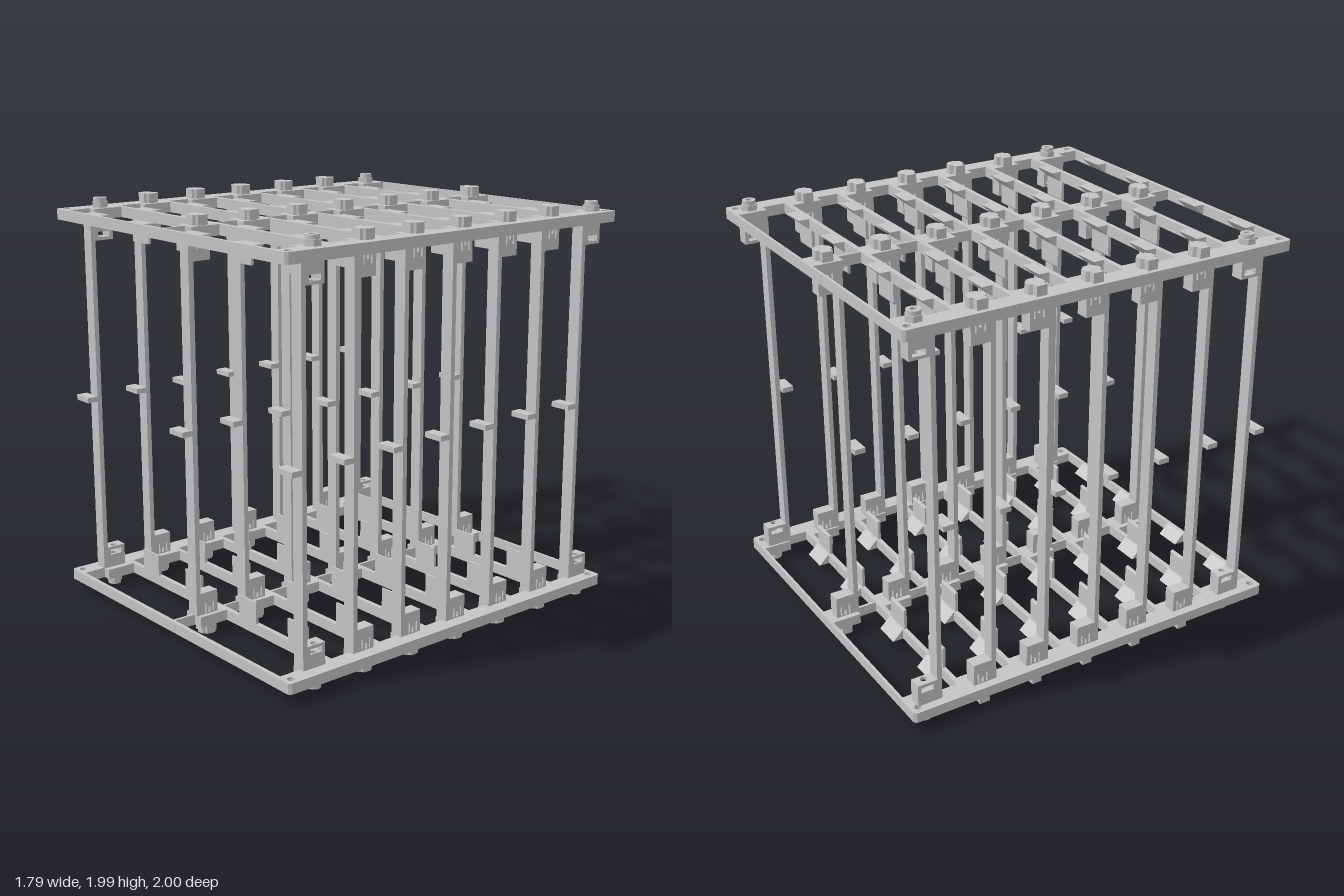
import * as THREE from 'three';

const H = 1.985;                 // overall height
const F0 = 0.047, F1 = 0.098;    // frame underside and top
const ROWS = 7, PITCH = 0.285;
const POST_X = [-0.819, 0.002, 0.798];
const PIN_X = [-0.812, 0.014, 0.812];
const rowZ = k => -0.908 + PITCH * k;
const barZ = k => -0.73 + PITCH * k;

const grey = new THREE.MeshStandardMaterial({ color: 0xc4c4c4 });
grey.name = 'grey plastic';

const toVectors = pts => pts.map(p => new THREE.Vector2(p[0], p[1]));
const rect = (a0, a1, b0, b1) => [[a0, b0], [a1, b0], [a1, b1], [a0, b1]];
const ring = (cx, cy, r, n, start = 0) => Array.from({ length: n }, (_, i) => {
  const a = start + i / n * Math.PI * 2;
  return [cx + r * Math.cos(a), cy + r * Math.sin(a)];
});

// Outline runs counter-clockwise and holes clockwise, so all walls face outwards
function extrude(outline, holes, depth) {
  const wind = (pts, clockwise) => {
    const v = toVectors(pts);
    return THREE.ShapeUtils.isClockWise(v) === clockwise ? v : v.reverse();
  };
  const shape = new THREE.Shape(wind(outline, false));
  holes.forEach(h => shape.holes.push(new THREE.Path(wind(h, true))));
  return new THREE.ExtrudeGeometry(shape, { depth, bevelEnabled: false });
}

// Upright prism from an outline in x and z
function prism(outline, y0, y1, holes = []) {
  const flip = pts => pts.map(([x, z]) => [x, -z]);
  return extrude(flip(outline), holes.map(flip), y1 - y0).rotateX(-Math.PI / 2).translate(0, y0, 0);
}

// Sideways prism from an outline in z and y
function slab(outline, x0, x1, holes = []) {
  const flip = pts => pts.map(([z, y]) => [-z, y]);
  return extrude(flip(outline), holes.map(flip), x1 - x0).rotateY(Math.PI / 2).translate(x0, 0, 0);
}

function add(parent, name, geometry) {
  const mesh = new THREE.Mesh(geometry, grey);
  mesh.name = name;
  parent.add(mesh);
}

// Openings either side of the centre rail, narrowed by the tongues under the posts
function frameHoles() {
  const holes = [];
  for (let k = 0; k < ROWS; k++) {
    const z0 = (k ? barZ(k - 1) + 0.024 : -0.986), zt = -0.841 + PITCH * k, z1 = barZ(k);
    const cell = (n0, n1, w0, w1) =>
      [[n0, z0], [n1, z0], [n1, zt], [w1, zt], [w1, z1], [w0, z1], [w0, zt], [n0, zt]];
    holes.push(cell(-0.755, -0.057, -0.797, -0.007), cell(0.057, 0.755, 0.007, 0.803));
  }
  for (const s of [-1, 1]) {
    for (const z of [-0.96, 0.96]) holes.push(ring(s * 0.853, z, 0.018, 20));
    for (const k of [0, ROWS - 1]) holes.push(ring(s * 0.812, rowZ(k), 0.016, 20));
  }
  return holes;
}

// Keyed head: round pin with side lugs and a square key towards -x
function keyOutline(cx, cz) {
  const half = [[-0.058, 0.026], [-0.03, 0.026], [-0.02, 0.041],
    [0.014, 0.041], [0.02, 0.03], [0.031, 0.024], [0.035, 0.01]];
  return [...half, ...half.map(([x, z]) => [x, -z]).reverse()].map(([x, z]) => [cx + x, cz + z]);
}

function buildEnd(name, upper) {
  const end = new THREE.Group();
  end.name = name;
  const Y = y => (upper ? H - y : y);
  const upright = (outline, y0, y1, holes) => {
    const a = Y(y0), b = Y(y1);
    return prism(outline, Math.min(a, b), Math.max(a, b), holes);
  };
  const side = (outline, x0, x1, holes = []) => {
    const m = pts => pts.map(([z, y]) => [z, Y(y)]);
    return slab(m(outline), x0, x1, holes.map(m));
  };

  // Grid frame with clipped corners
  const c = 0.012;
  const outer = [[-0.893 + c, -1], [0.893 - c, -1], [0.893, -1 + c], [0.893, 1 - c],
    [0.893 - c, 1], [-0.893 + c, 1], [-0.893, 1 - c], [-0.893, -1 + c]];
  add(end, 'gridFrame', upright(outer, F0, F1, frameHoles()));

  // Card guides: a solid lead-in wedge behind each bar and an upright tab on inner bars
  for (let k = 0; k < ROWS; k++) {
    const z = barZ(k);
    for (const x of [-0.59, -0.219, 0.221, 0.592]) {
      const x0 = x - 0.067, x1 = x + 0.067;
      add(end, 'guideWedge', side([[z, F1], [z, F0], [z - 0.054, F0]], x0, x1));
      if (k < ROWS - 1) {
        add(end, 'guideTab', side([[z + 0.009, F1], [z + 0.024, F1], [z + 0.024, 0.205],
          [z + 0.014, 0.205], [z + 0.009, 0.198]], x0, x1));
      }
    }
  }

  // Post feet: bolted at the four corners, snap-in elsewhere
  for (let k = 0; k < ROWS; k++) {
    const z = rowZ(k);
    POST_X.forEach((x, i) => {
      const px = PIN_X[i], x0 = x - 0.032, x1 = x + 0.032;
      if (i !== 1 && (k === 0 || k === ROWS - 1)) {
        const bore = [ring(px, z, 0.016, 20)];
        const foot = rect(x0, x1, z - 0.05, z + 0.05);
        add(end, 'boltFootInner', upright(foot, F1, 0.163, bore));
        add(end, 'boltFootOuter', upright(foot, 0.19, 0.205, bore));
        for (const s of [-1, 1]) {
          const a = z + s * 0.05, b = z + s * 0.032;
          add(end, 'boltFootWall', upright(rect(x0, x1, Math.min(a, b), Math.max(a, b)), 0.163, 0.19));
        }
        add(end, 'boltFlange', upright(ring(px, z, 0.041, 6, Math.PI / 6), 0.02, F0, bore));
        add(end, 'boltHead', upright(ring(px, z, 0.032, 24), 0, 0.02, bore));
      } else {
        const slits = [rect(z - 0.026, z - 0.018, 0.104, 0.152), rect(z - 0.006, z + 0.006, 0.104, 0.13),
          rect(z + 0.018, z + 0.026, 0.104, 0.152)];
        add(end, 'snapFoot', side(rect(z - 0.046, z + 0.05, F1, 0.205), x0, x1, slits));
        add(end, 'snapHead', upright(keyOutline(px, z), 0, F0));
      }
    });
  }
  return end;
}

export function createModel() {
  const model = new THREE.Group();
  model.name = 'cardRack';
  model.add(buildEnd('lowerEnd', false), buildEnd('upperEnd', true));

  // Thin flat posts, each with a small stop halfway up
  const posts = new THREE.Group();
  posts.name = 'posts';
  for (let k = 0; k < ROWS; k++) {
    for (const x of POST_X) {
      const z = rowZ(k) + 0.061;
      add(posts, 'post', new THREE.BoxGeometry(0.064, H - 2 * F1, 0.024).translate(x, H / 2, z));
      add(posts, 'cardStop', new THREE.BoxGeometry(0.105, 0.026, 0.056).translate(x - 0.0205, H / 2, z + 0.038));
    }
  }
  model.add(posts);
  return model;
}
